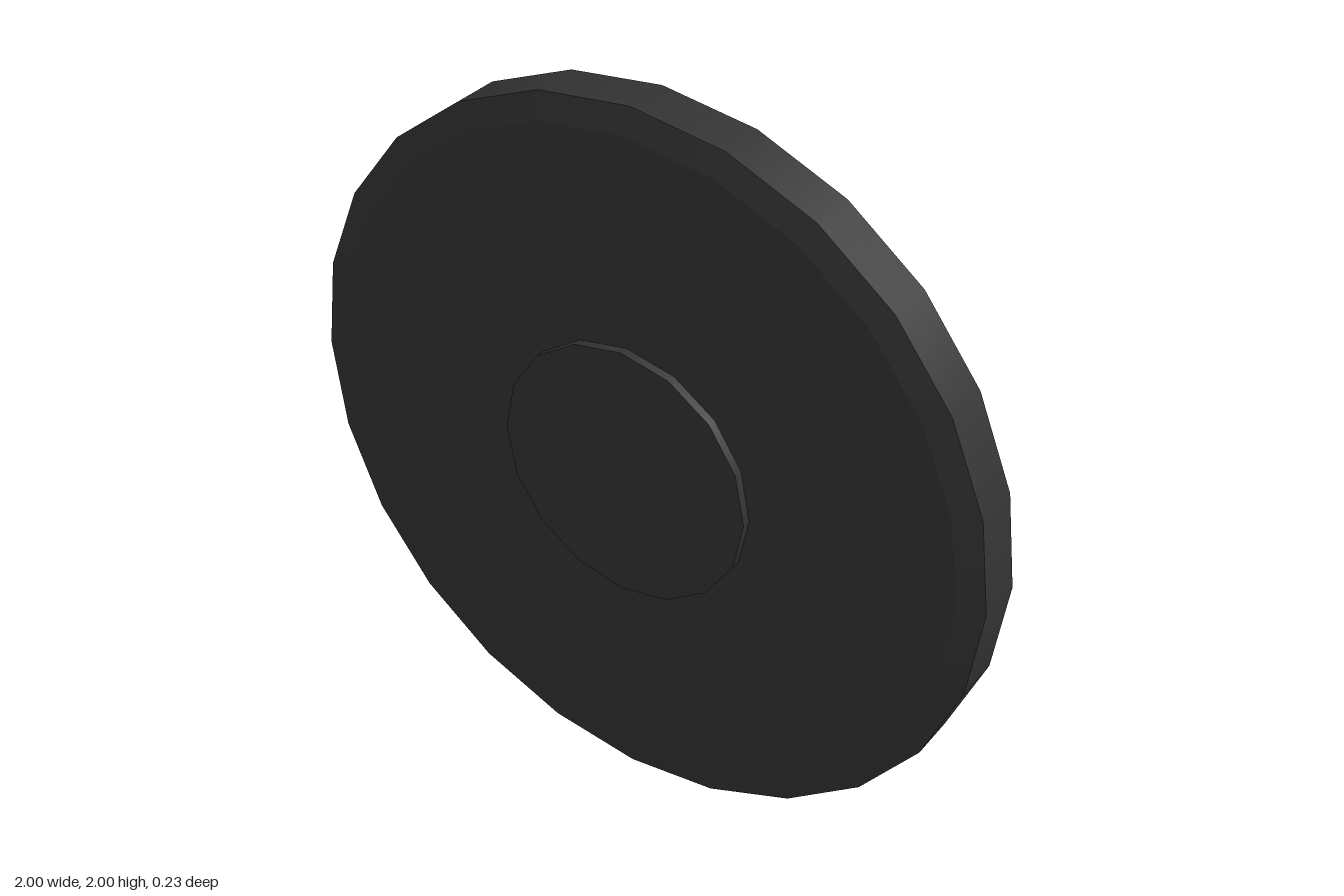
import * as THREE from 'three';
import { mergeGeometries } from 'three/addons/utils/BufferGeometryUtils.js';

const material = new THREE.MeshStandardMaterial({ color: 0x333333 });

// Each profile piece is smooth around the axis, with a crisp edge to the next piece.
function turned(name, pieces, sides) {
  const bands = pieces.map((piece) =>
    new THREE.LatheGeometry(piece.map(([r, h]) => new THREE.Vector2(r, h)), sides));
  const geometry = mergeGeometries(bands);
  geometry.rotateX(Math.PI / 2); // turning axis along z
  const mesh = new THREE.Mesh(geometry, material);
  mesh.name = name;
  return mesh;
}

export function createModel() {
  const model = new THREE.Group();
  model.name = 'disc';

  // Wide disc with flat faces, shallow bevels and a straight rim
  const disc = turned('discBody', [
    [[0, -0.081], [0.93, -0.081]],
    [[0.93, -0.081], [1, -0.064]],
    [[1, -0.064], [1, 0.064]],
    [[1, 0.064], [0.93, 0.081]],
    [[0.93, 0.081], [0, 0.081]],
  ], 24);

  // Slightly domed hub standing proud on both faces
  const hub = turned('hub', [
    [[0, -0.115], [0.18, -0.112], [0.363, -0.105]],
    [[0.363, -0.105], [0.363, 0.105]],
    [[0.363, 0.105], [0.18, 0.112], [0, 0.115]],
  ], 16);

  // The whole disc is turned very slightly about the vertical
  const assembly = new THREE.Group();
  assembly.name = 'discAssembly';
  assembly.add(disc, hub);
  assembly.rotation.y = 0.0144;
  assembly.position.y = 1;
  model.add(assembly);
  return model;
}
